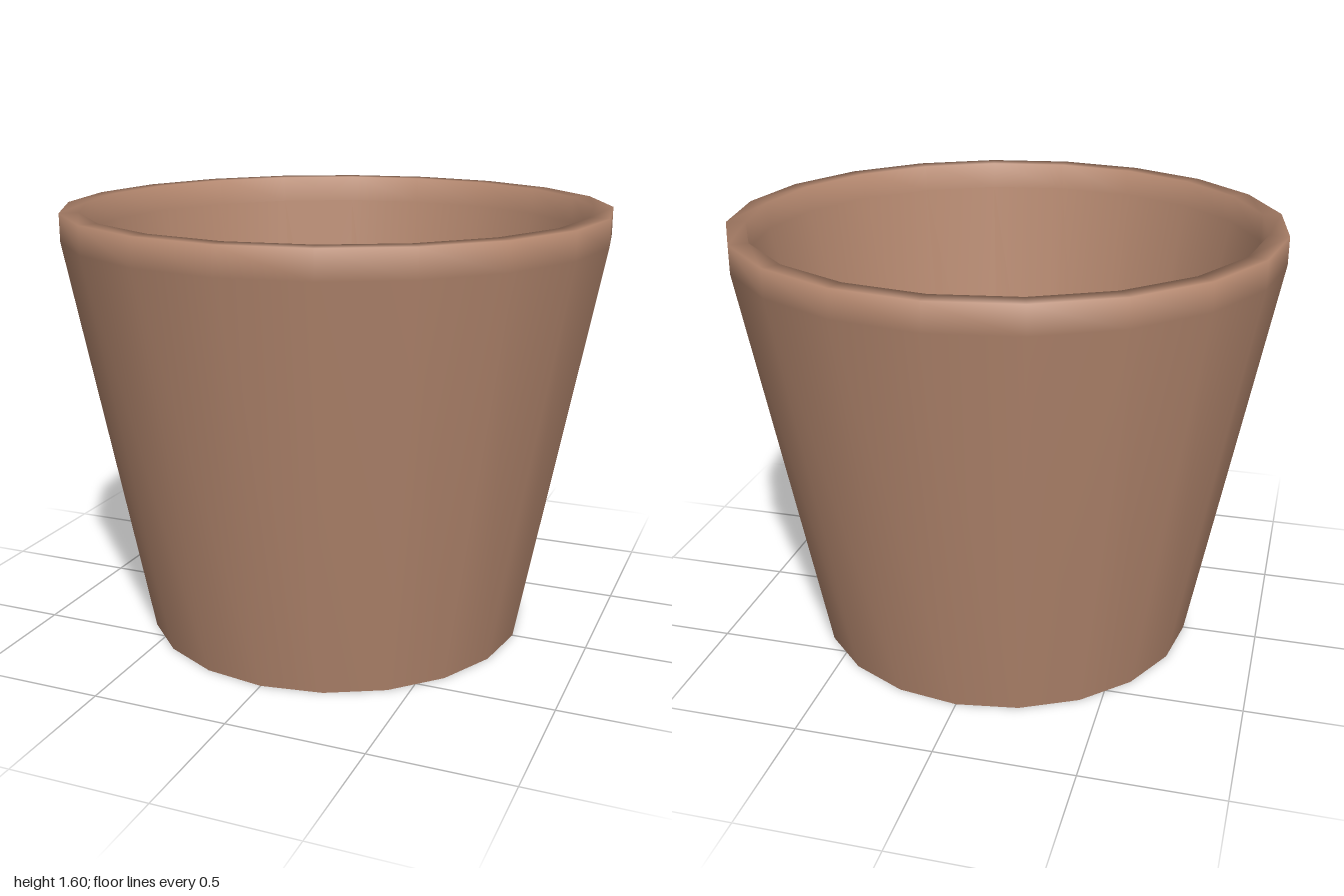
import * as THREE from 'three';

const SIDES = 20;

export function createModel() {
  const group = new THREE.Group();
  group.name = 'flowerPot';
  const clay = new THREE.MeshStandardMaterial({ color: 0xb5886f });

  const add = (name, geometry, y = 0) => {
    const mesh = new THREE.Mesh(geometry, clay);
    mesh.name = name;
    mesh.position.y = y;
    group.add(mesh);
  };

  // Tapered wall: up the outside, over the rim, down the inside
  const profile = [
    [0.72, 0], [1, 1.5], [1, 1.6], [0.93, 1.6], [0.93, 1.5], [0.645, 0.07],
  ].map(([r, y]) => new THREE.Vector2(r, y));
  add('wallAndRim', new THREE.LatheGeometry(profile, SIDES));

  // Inner floor and underside, flat with hard edges
  add('innerFloor', new THREE.CircleGeometry(0.645, SIDES).rotateX(-Math.PI / 2), 0.07);
  add('underside', new THREE.CircleGeometry(0.72, SIDES).rotateX(Math.PI / 2));

  return group;
}
